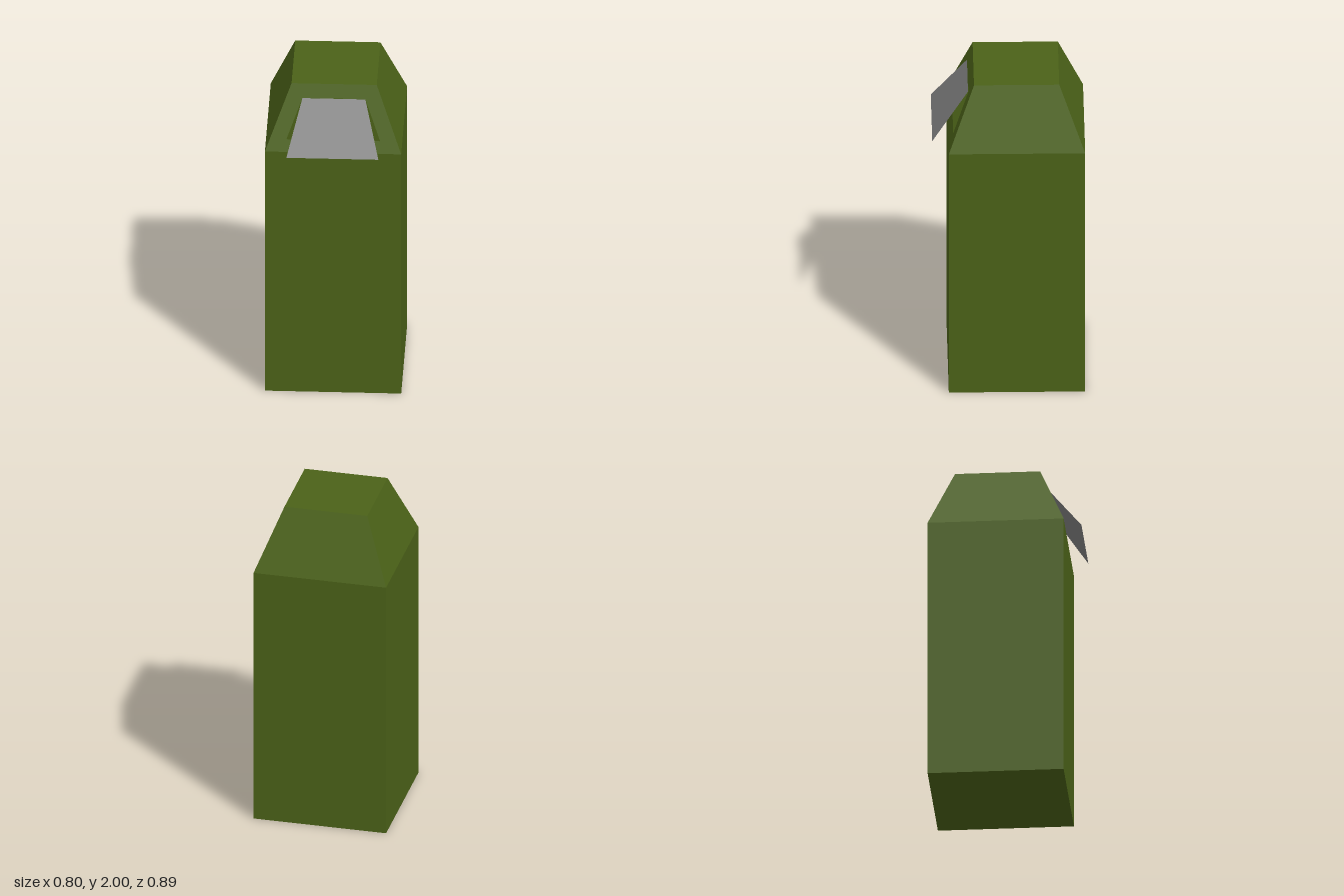
import * as THREE from 'three';

// Flat-shaded mesh from four-cornered faces, corners counter-clockwise from outside
function quadMesh(name, quads, material) {
  const points = quads.flatMap(([a, b, c, d]) => [a, b, c, a, c, d]);
  const geometry = new THREE.BufferGeometry();
  geometry.setAttribute('position', new THREE.Float32BufferAttribute(points.flat(), 3));
  geometry.computeVertexNormals();
  const mesh = new THREE.Mesh(geometry, material);
  mesh.name = name;
  return mesh;
}

// Square ring of corners around the bin's axis, starting at the front left of the picture plane
const CENTRE_Z = -0.05;
const ring = (half, y) => [[-1, 1], [1, 1], [1, -1], [-1, -1]]
  .map(([x, z]) => [x * half, y, CENTRE_Z + z * half]);

// Quads joining two rings side by side, beginning with the front
const band = (low, high) => low.map((p, i) => {
  const j = (i + 1) % low.length;
  return [p, low[j], high[j], high[i]];
});

export function createModel() {
  const green = new THREE.MeshStandardMaterial({ color: 0x4b6218, flatShading: true, side: THREE.DoubleSide });
  const grey = new THREE.MeshStandardMaterial({ color: 0x808080, flatShading: true, side: THREE.DoubleSide });

  const base = ring(0.4, 0);
  const shoulder = ring(0.4, 1.62);
  const crown = ring(0.25, 2);

  // Hollow box with a floor
  const body = quadMesh('body', [...band(base, shoulder), [...base].reverse()], green);

  // Sloping hood; its front is a frame around the opening
  const [front, ...otherSides] = band(shoulder, crown);
  const slopeZ = (y) => 0.35 - 0.15 * (y - 1.62) / 0.38;
  const opening = [[-0.275, 1.69], [0.275, 1.69], [0.185, 1.92], [-0.185, 1.92]]
    .map(([x, y]) => [x, y, slopeZ(y)]);
  const hood = quadMesh('hood', [...band(front, opening), ...otherSides, crown], green);

  // Thin flap hinged at the top of the opening, swung outwards
  const flap = quadMesh('flap', [[
    [-0.27, 1.635, 0.445], [0.27, 1.635, 0.445], [0.185, 1.92, 0.234], [-0.185, 1.92, 0.234],
  ]], grey);

  const model = new THREE.Group();
  model.name = 'litterBin';
  model.add(body, hood, flap);
  return model;
}
